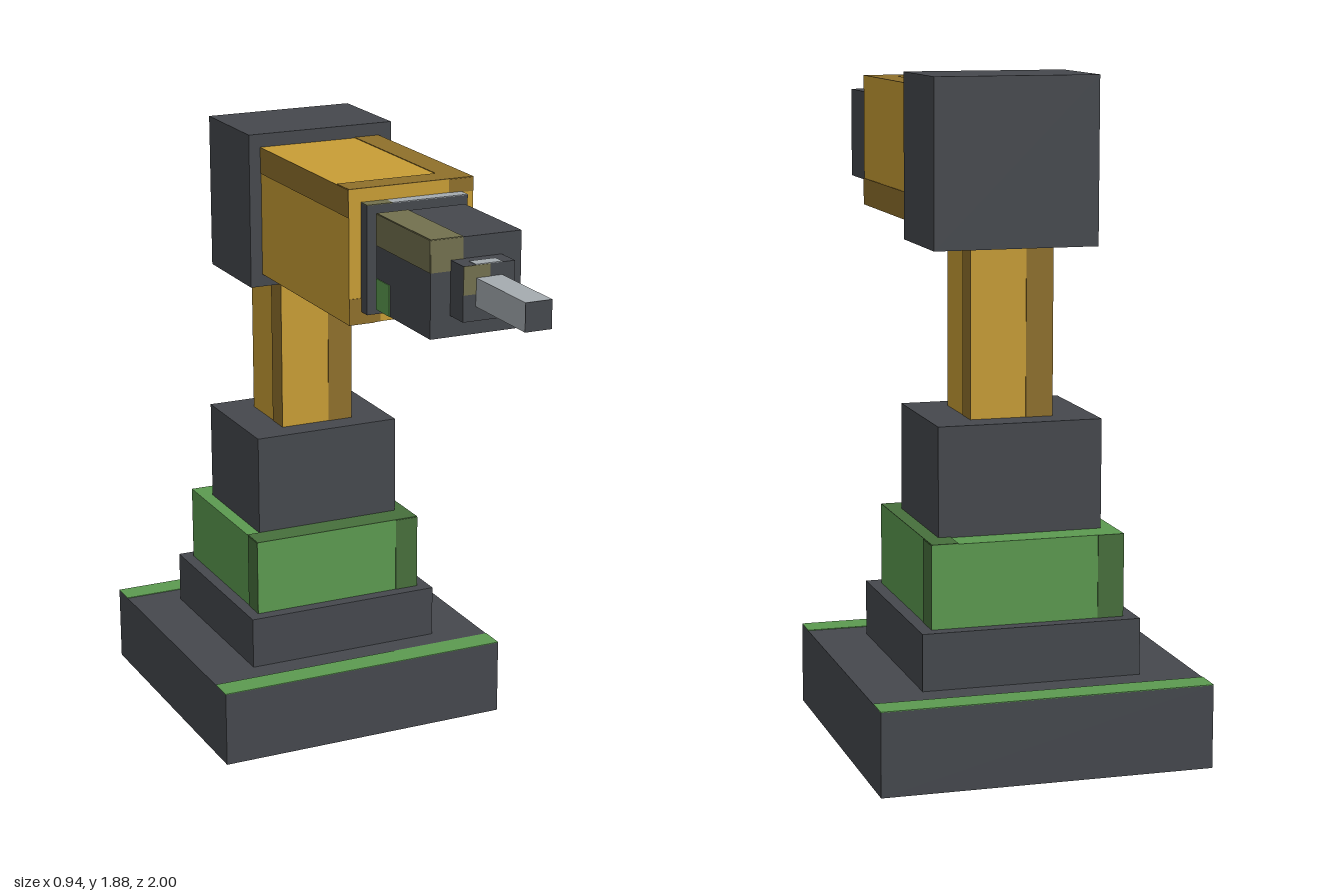
import * as THREE from 'three';

const mat = (name, color) => {
  const m = new THREE.MeshStandardMaterial({ color });
  m.name = name;
  return m;
};

export function createModel() {
  const charcoal = mat('charcoal', 0x45484d);
  const gold = mat('gold', 0xc89d35);
  const darkGold = mat('darkGold', 0x8f702b);
  const green = mat('green', 0x5c9a50);
  const darkGreen = mat('darkGreen', 0x476f3c);
  const olive = mat('olive', 0x72704e);
  const silver = mat('silver', 0xa5abb0);

  const root = new THREE.Group();
  root.name = 'robotArm';

  // Box given by its extents on each axis
  const block = (name, material, x, y, z) => {
    const g = new THREE.BoxGeometry(x[1] - x[0], y[1] - y[0], z[1] - z[0]);
    const mesh = new THREE.Mesh(g, material);
    mesh.name = name;
    mesh.position.set((x[0] + x[1]) / 2, (y[0] + y[1]) / 2, (z[0] + z[1]) / 2);
    root.add(mesh);
  };
  // Thin painted plate: the axis given as a number is the face it lies on, dir is its outward side
  const paint = (name, material, x, y, z, dir) => {
    const span = (v) => (Array.isArray(v) ? v : [v - 0.001, v + 0.001].map((n) => n + dir * 0.001));
    block(name, material, span(x), span(y), span(z));
  };

  // Base with green edge stripes
  block('base', charcoal, [-0.47, 0.47], [0, 0.235], [-1, -0.06]);
  for (const z of [[-1, -0.92], [-0.14, -0.06]]) paint('baseStripe', green, [-0.47, 0.47], 0.235, z, 1);
  block('plinth', charcoal, [-0.312, 0.312], [0.235, 0.395], [-0.842, -0.216]);

  // Turntable, one darker edge band on each side
  const ty = [0.395, 0.63];
  block('turntable', green, [-0.275, 0.275], ty, [-0.805, -0.255]);
  paint('turntableBandFront', darkGreen, [0.2, 0.275], ty, -0.255, 1);
  paint('turntableBandRight', darkGreen, 0.275, ty, [-0.805, -0.72], 1);
  paint('turntableBandBack', darkGreen, [-0.275, -0.2], ty, -0.805, -1);
  paint('turntableBandLeft', darkGreen, -0.275, ty, [-0.33, -0.255], -1);
  paint('turntableBandTop', darkGreen, [0.2, 0.275], 0.63, [-0.805, -0.335], 1);
  paint('turntableBandTop', darkGreen, [-0.275, 0.275], 0.63, [-0.335, -0.255], 1);

  block('shoulder', charcoal, [-0.235, 0.235], [0.63, 0.94], [-0.725, -0.335]);

  // Post with a darker band on each side
  const py = [0.94, 1.415];
  block('post', gold, [-0.118, 0.118], py, [-0.643, -0.41]);
  paint('postBandFront', darkGold, [0.038, 0.118], py, -0.41, 1);
  paint('postBandRight', darkGold, 0.118, py, [-0.643, -0.567], 1);
  paint('postBandBack', darkGold, [-0.118, -0.04], py, -0.643, -1);
  paint('postBandLeft', darkGold, -0.118, py, [-0.486, -0.41], -1);

  block('elbow', charcoal, [-0.235, 0.235], [1.415, 1.885], [-0.685, -0.37]);

  // Forearm with darker bands
  const az = [-0.37, 0.255];
  block('forearm', gold, [-0.197, 0.193], [1.455, 1.845], az);
  paint('forearmBandTop', darkGold, [0.113, 0.193], 1.845, az, 1);
  paint('forearmBandTopFront', darkGold, [-0.197, 0.113], 1.845, [0.175, 0.255], 1);
  paint('forearmBandRight', darkGold, 0.193, [1.455, 1.535], az, 1);
  paint('forearmBandLeft', darkGold, -0.197, [1.765, 1.845], az, -1);
  paint('forearmBandBottom', darkGold, [-0.197, -0.117], 1.455, az, -1);
  paint('forearmCorner', darkGold, [0.115, 0.193], [1.805, 1.845], 0.255, 1);
  paint('forearmCorner', darkGold, [-0.197, -0.1], [1.455, 1.53], 0.255, 1);

  // Wrist flange and neck
  block('flange', charcoal, [-0.16, 0.155], [1.49, 1.805], [0.255, 0.295]);
  paint('flangeFace', silver, [-0.1, 0.155], [1.49, 1.75], 0.295, 1);
  paint('flangeTop', silver, [-0.08, 0.155], 1.805, [0.255, 0.295], 1);
  paint('flangeTopEnd', olive, [-0.16, -0.08], 1.805, [0.255, 0.295], 1);
  block('neck', charcoal, [-0.115, 0.11], [1.525, 1.765], [0.295, 0.315]);
  paint('neckTop', silver, [-0.115, 0.11], 1.765, [0.298, 0.315], 1);

  // Wrist with olive upper corner and green side patches
  block('wrist', charcoal, [-0.14, 0.135], [1.51, 1.785], [0.315, 0.65]);
  paint('wristTopPaint', olive, [-0.14, -0.043], 1.785, [0.315, 0.65], 1);
  paint('wristSidePaint', olive, -0.14, [1.695, 1.785], [0.315, 0.65], -1);
  paint('wristFrontPaint', olive, [-0.14, -0.043], [1.695, 1.785], 0.65, 1);
  for (const [x, dir] of [[0.135, 1], [-0.14, -1]]) {
    paint('wristPatch', green, x, [1.51, 1.6], [0.315, 0.4], dir);
  }

  // Tool mount
  block('toolMount', charcoal, [-0.08, 0.075], [1.57, 1.725], [0.65, 0.725]);
  paint('toolMountFrontPaint', olive, [-0.08, 0], [1.645, 1.725], 0.725, 1);
  paint('toolMountTopPaint', silver, [-0.043, 0.037], 1.725, [0.685, 0.725], 1);

  // Tool rod with dark end
  block('toolRod', silver, [-0.042, 0.037], [1.61, 1.69], [0.725, 0.998]);
  paint('toolTip', charcoal, [-0.042, 0.037], [1.61, 1.69], 0.998, 1);

  return root;
}
